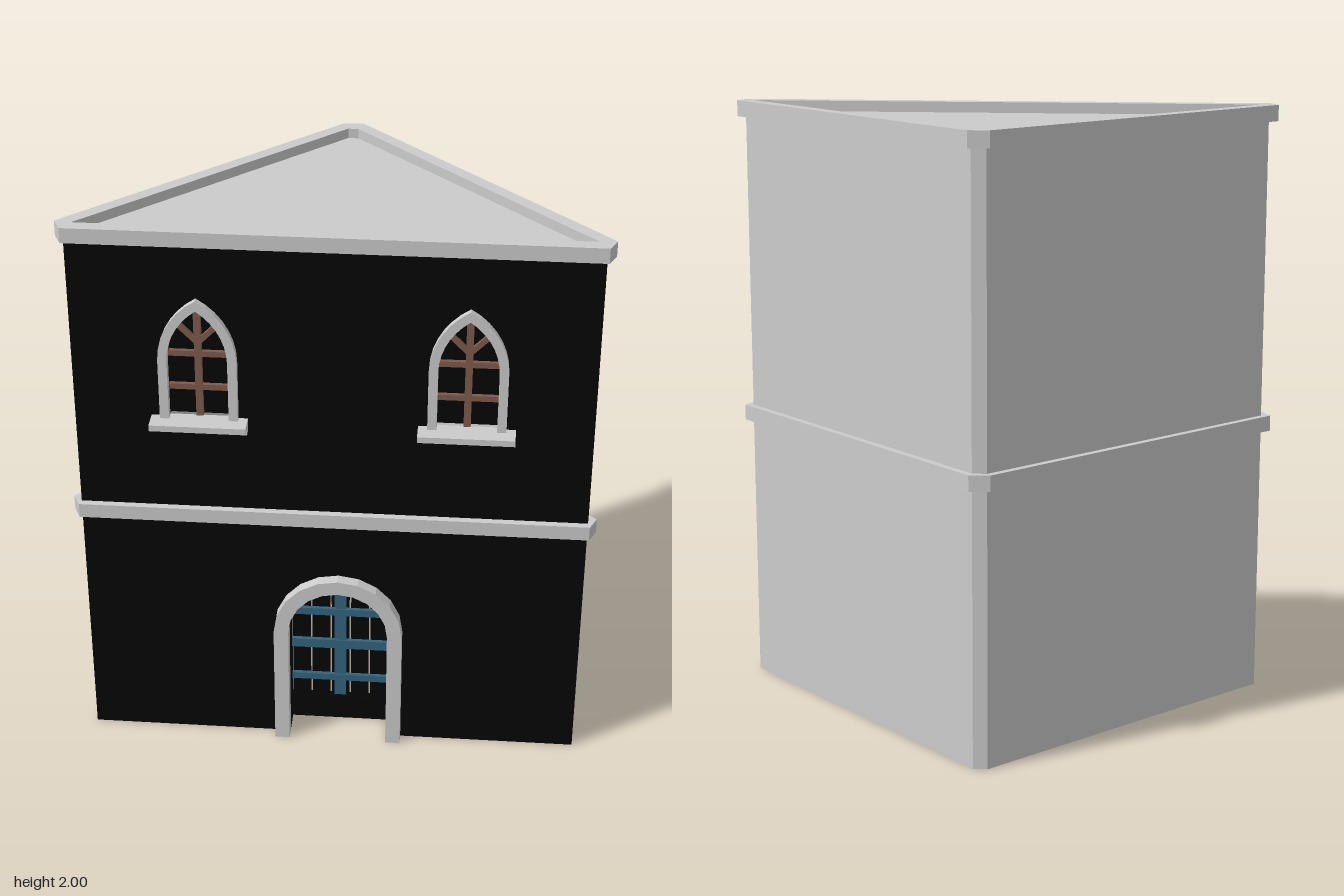
import * as THREE from 'three';

const mat = (color, side = THREE.FrontSide) => new THREE.MeshStandardMaterial({ color, side });
const grey = mat(0xcccccc);
const shell = mat(0xcccccc, THREE.DoubleSide);
const black = mat(0x050505, THREE.DoubleSide);
const blue = mat(0x34637e);
const brown = mat(0x7d5a4c);

// footprint corners (x, z); the last edge back to the first is the diagonal front
const FOOT = [[0.603, 0.623], [0.623, 0.606], [0.623, -0.59], [0.59, -0.623], [-0.603, -0.623], [-0.623, -0.603]];
const BAND = [[0.59, 0.645], [0.645, 0.624], [0.645, -0.6], [0.595, -0.645], [-0.625, -0.645], [-0.645, -0.59]];
const INNER = [[0.6, 0.59], [0.6, -0.575], [0.575, -0.6], [-0.59, -0.6]];
const FACE = 0.014; // distance of the front wall plane from the origin

function add(parent, name, geometry, material, x = 0, y = 0, z = 0) {
  const mesh = new THREE.Mesh(geometry, material);
  mesh.name = name;
  mesh.position.set(x, y, z);
  parent.add(mesh);
  return mesh;
}

function box(parent, name, material, x0, x1, y0, y1, z0, z1) {
  add(parent, name, new THREE.BoxGeometry(x1 - x0, y1 - y0, z1 - z0), material,
    (x0 + x1) / 2, (y0 + y1) / 2, (z0 + z1) / 2);
}

const vecs = (pts) => pts.map(([x, y]) => new THREE.Vector2(x, y));
const plan = (pts) => vecs(pts.map(([x, z]) => [x, -z]));

// arch outline from bottom right over the apex to bottom left; c > 0 makes it pointed
function arch(cx, half, bottom, spring, c, steps) {
  const r = half + c, end = Math.acos(c / r);
  const right = [[half, bottom]];
  for (let i = 0; i <= steps; i++) {
    const a = (end * i) / steps;
    right.push([r * Math.cos(a) - c, spring + r * Math.sin(a)]);
  }
  const left = right.slice(0, -1).reverse().map(([x, y]) => [-x, y]);
  return vecs([...right, ...left].map(([x, y]) => [x + cx, y]));
}

const doorArch = (cx, half) => arch(cx, half, 0, 0.468, 0, 5);
const windowArch = (cx, half) => arch(cx, half, 1.31, 1.53, 0.128, 7);

// arched surround between two outlines, from depth z0 to z1
function surround(parent, name, material, outer, inner, z0, z1) {
  const shape = new THREE.Shape([...outer, ...inner.slice().reverse()]);
  const geo = new THREE.ExtrudeGeometry(shape, { depth: z1 - z0, bevelEnabled: false });
  add(parent, name, geo, material, 0, 0, z0);
}

// upright panel over one footprint edge
function panel(parent, name, material, p, q, y0, y1) {
  const dx = q[0] - p[0], dz = q[1] - p[1];
  const mesh = add(parent, name, new THREE.PlaneGeometry(Math.hypot(dx, dz), y1 - y0), material,
    (p[0] + q[0]) / 2, (y0 + y1) / 2, (p[1] + q[1]) / 2);
  mesh.rotation.y = Math.atan2(-dz, dx);
}

function band(parent, name, y0, y1) {
  const shape = new THREE.Shape(plan(BAND));
  shape.holes.push(new THREE.Path(plan(INNER)));
  const geo = new THREE.ExtrudeGeometry(shape, { depth: y1 - y0, bevelEnabled: false });
  geo.rotateX(-Math.PI / 2);
  add(parent, name, geo, grey, 0, y0, 0);
}

function makeWindow(parent, cx) {
  const win = new THREE.Group();
  win.name = 'window';
  parent.add(win);
  const inner = windowArch(cx, 0.1);
  surround(win, 'windowSurround', grey, windowArch(cx, 0.131), inner, 0.006, 0.037);
  surround(win, 'windowRecess', black, windowArch(cx, 0.135), inner, -0.02, 0.006);
  add(win, 'windowPane', new THREE.ShapeGeometry(new THREE.Shape(inner)), black, 0, 0, -0.018);
  // glazing bars
  box(win, 'mullion', brown, cx - 0.012, cx + 0.012, 1.31, 1.715, -0.012, 0.008);
  for (const y of [1.42, 1.545]) box(win, 'glazingBar', brown, cx - 0.1, cx + 0.1, y - 0.01, y + 0.01, -0.01, 0.005);
  for (const s of [-1, 1]) {
    const bar = add(win, 'diagonalBar', new THREE.BoxGeometry(0.018, 0.115, 0.015), brown, cx + s * 0.042, 1.628, -0.003);
    bar.rotation.z = -s * 0.78;
  }
  // two-step sill
  box(win, 'sillTop', grey, cx - 0.162, cx + 0.162, 1.291, 1.313, 0.002, 0.088);
  box(win, 'sillBase', grey, cx - 0.162, cx + 0.162, 1.268, 1.291, 0.002, 0.05);
}

function makeDoor(parent, cx) {
  const door = new THREE.Group();
  door.name = 'door';
  parent.add(door);
  const inner = doorArch(cx, 0.174);
  surround(door, 'doorSurround', grey, doorArch(cx, 0.226), inner, 0.005, 0.057);
  surround(door, 'doorRecess', black, doorArch(cx, 0.2), inner, -0.09, 0.005);
  surround(door, 'doorBacking', black, doorArch(cx, 0.235), inner, -0.002, 0.005);
  // planks with narrow gaps, cut to the arch
  const w = 0.348 / 5;
  const top = (x) => 0.468 + Math.sqrt(Math.max(0, 0.174 ** 2 - x * x));
  for (let i = 0; i < 5; i++) {
    const a = -0.174 + i * w + 0.003, b = a + w - 0.006, m = (a + b) / 2;
    const pts = [[a, 0], [b, 0], [b, top(b)], [m, top(m)], [a, top(a)]];
    const shape = new THREE.Shape(vecs(pts.map(([x, y]) => [x + cx, y])));
    add(door, 'doorPlank', new THREE.ExtrudeGeometry(shape, { depth: 0.008, bevelEnabled: false }), black, 0, 0, -0.088);
  }
  box(door, 'doorFoot', black, cx - 0.2, cx + 0.2, 0, 0.1, -0.1, -0.075);
  // blue straps
  box(door, 'doorPost', blue, cx - 0.021, cx + 0.021, 0.11, 0.62, -0.08, -0.07);
  for (const [y, h] of [[0.19, 0.013], [0.338, 0.018], [0.478, 0.014]]) {
    box(door, 'doorStrap', blue, cx - 0.174, cx + 0.174, y - h, y + h, -0.08, -0.066);
  }
}

export function createModel() {
  const tower = new THREE.Group();
  tower.name = 'cornerTower';

  // side and back walls with chamfered corners, in two storeys
  for (const [y0, y1] of [[0, 0.93], [0.93, 1.97]]) {
    for (let i = 0; i < FOOT.length - 1; i++) {
      const dark = i === 4 || (i === 0 && y0 > 0);
      panel(tower, i % 2 ? 'wall' : 'cornerChamfer', dark ? black : shell, FOOT[i], FOOT[i + 1], y0, y1);
    }
  }

  // string course, parapet and sunken roof
  band(tower, 'stringCourse', 0.905, 0.957);
  band(tower, 'parapet', 1.947, 2);
  const roof = new THREE.ShapeGeometry(new THREE.Shape(plan(INNER)));
  roof.rotateX(-Math.PI / 2);
  add(tower, 'roof', roof, shell, 0, 1.965, 0);

  // diagonal front: local x runs along the wall, local z points outward
  const front = new THREE.Group();
  front.name = 'front';
  front.rotation.y = -Math.PI / 4;
  tower.add(front);
  const doorX = 0.02, L = 0.867;
  const opening = doorArch(doorX, 0.174).reverse();
  const wall = new THREE.Shape([...vecs([[-L, 0]]), ...opening, ...vecs([[L, 0], [L, 1.96], [-L, 1.96]])]);
  for (const x of [-0.446, 0.446]) {
    wall.holes.push(new THREE.Path(windowArch(x, 0.11)));
    makeWindow(front, x);
  }
  add(front, 'frontWall', new THREE.ShapeGeometry(wall), black, 0, 0, FACE);
  makeDoor(front, doorX);

  return tower;
}
